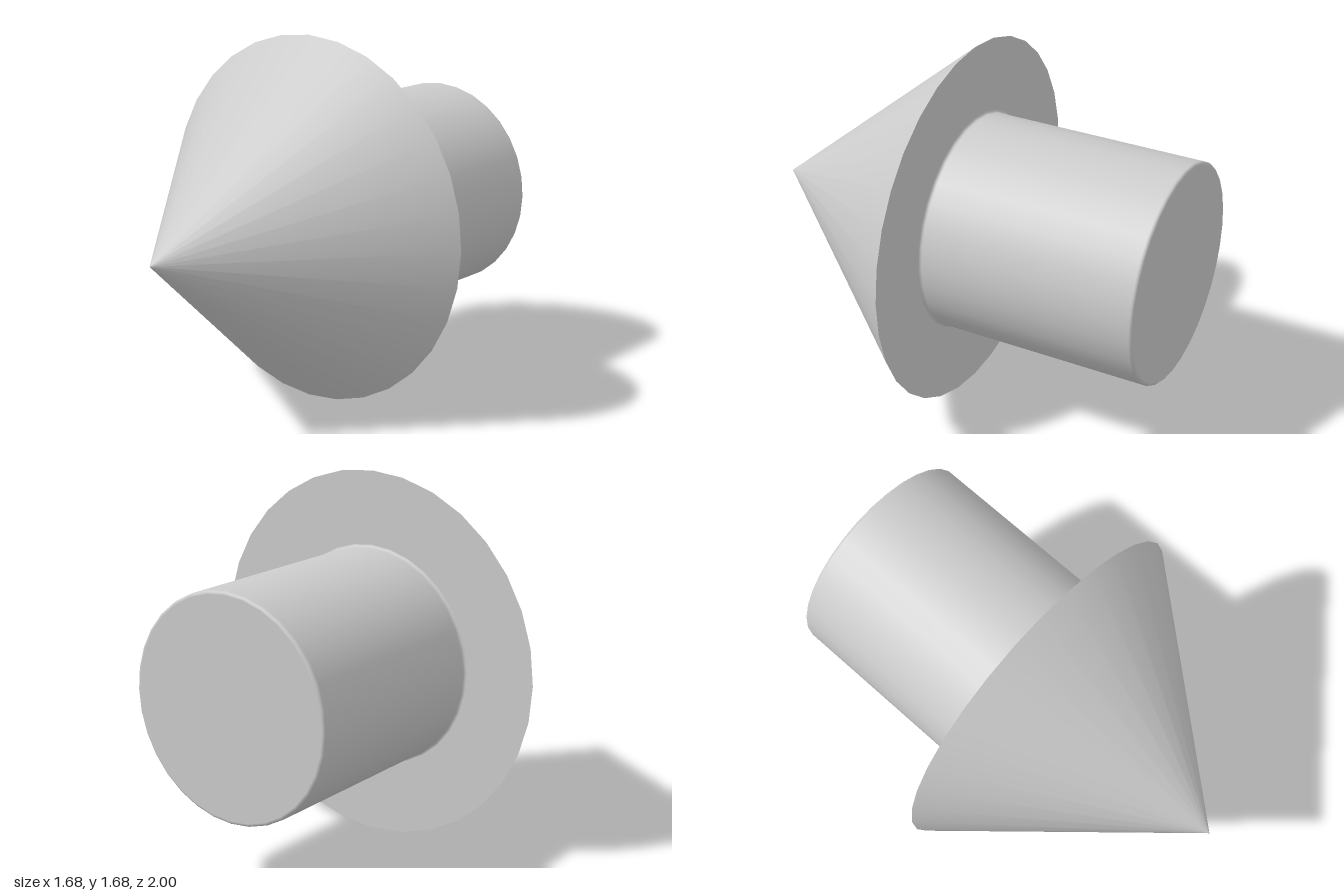
import * as THREE from 'three';

const SIDES = 32;
const HEAD_R = 0.84, SHANK_R = 0.495, BEVEL = 0.012;

export function createModel() {
  const group = new THREE.Group();
  const material = new THREE.MeshStandardMaterial({ color: 0xcccccc });

  // Everything is turned about y, then laid so that +y points to the front
  const add = (name, geometry) => {
    geometry.rotateX(Math.PI / 2);
    const mesh = new THREE.Mesh(geometry, material);
    mesh.name = name;
    mesh.position.y = HEAD_R;
    group.add(mesh);
  };

  // Pointed head with a flat back
  add('coneHead', new THREE.ConeGeometry(HEAD_R, 1, SIDES).translate(0, 0.5, 0));

  // Shank: flat end, small rounded rim, straight wall, small flare into the head
  const arc = (cx, cy, from, to) => [0, 1, 2, 3].map((i) => {
    const a = from + (to - from) * i / 3;
    return new THREE.Vector2(cx + BEVEL * Math.cos(a), cy + BEVEL * Math.sin(a));
  });
  const profile = [
    new THREE.Vector2(0, -1),
    new THREE.Vector2(SHANK_R - BEVEL - 0.002, -1),
    ...arc(SHANK_R - BEVEL, -1 + BEVEL, -Math.PI / 2, 0),
    new THREE.Vector2(SHANK_R, -1 + BEVEL + 0.002),
    new THREE.Vector2(SHANK_R, -BEVEL - 0.002),
    ...arc(SHANK_R + BEVEL, -BEVEL, Math.PI, Math.PI / 2),
  ];
  add('shank', new THREE.LatheGeometry(profile, SIDES));

  return group;
}
